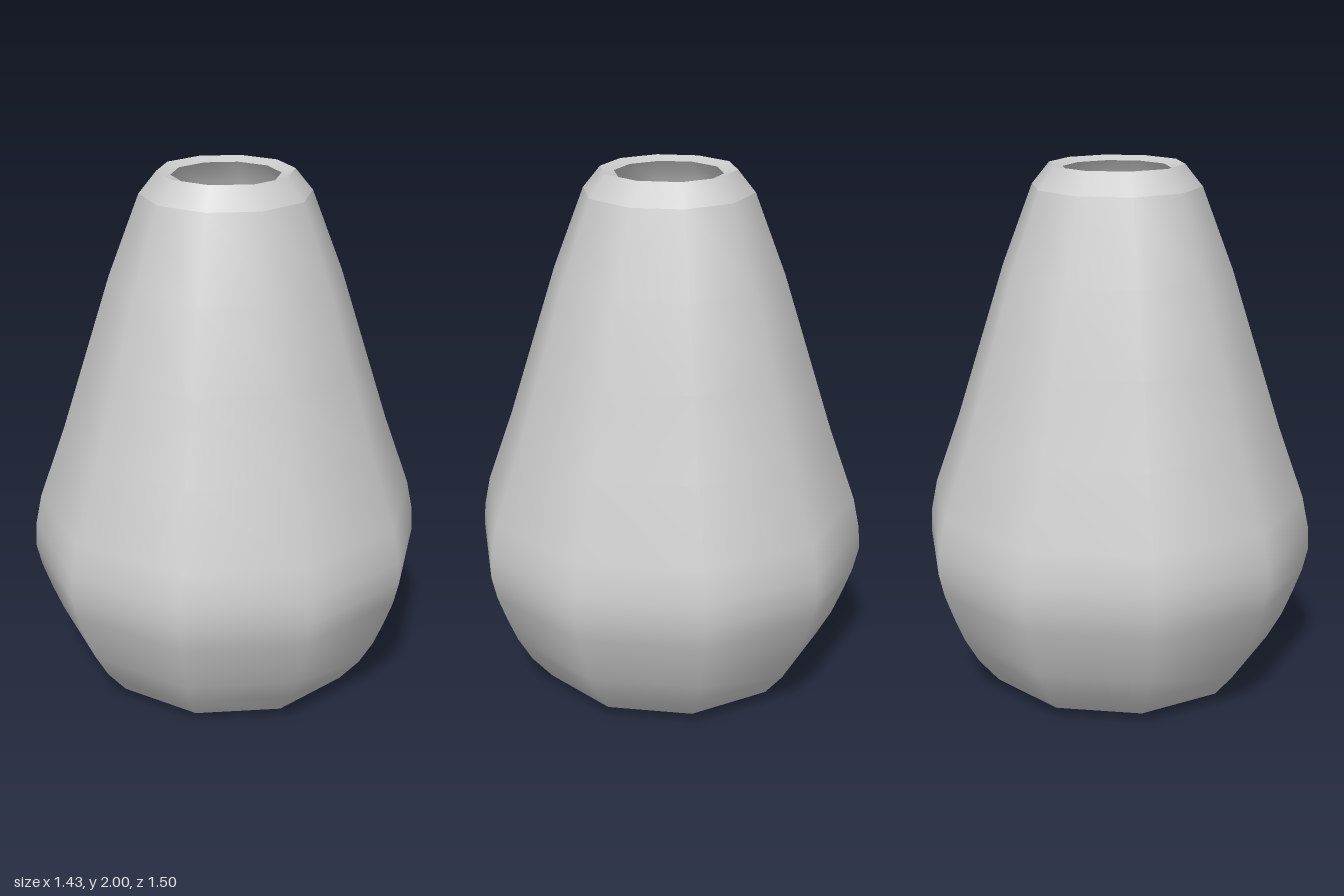
import * as THREE from 'three';

const SIDES = 10;

export function createModel() {
  const vase = new THREE.Group();
  vase.name = 'vase';
  const material = new THREE.MeshStandardMaterial({ color: 0xcccccc });

  // Each section is smooth in itself; the joins between sections stay sharp.
  // Profiles are [radius, height] and run base -> outside -> rim -> inside.
  const section = (name, profile) => {
    const points = profile.map(([r, y]) => new THREE.Vector2(r, y));
    const mesh = new THREE.Mesh(new THREE.LatheGeometry(points, SIDES), material);
    mesh.name = name;
    vase.add(mesh);
  };

  section('base', [[0, 0], [0.44, 0]]);
  section('baseBevel', [[0.44, 0], [0.52, 0.04]]);
  section('body', [
    [0.52, 0.04], [0.6, 0.14], [0.655, 0.24], [0.695, 0.34], [0.73, 0.44], [0.75, 0.53],
    [0.745, 0.62], [0.72, 0.74], [0.62, 1.02], [0.525, 1.32], [0.43, 1.62], [0.315, 1.92],
  ]);
  section('neckBevel', [[0.315, 1.92], [0.25, 2]]);
  section('rim', [[0.25, 2], [0.2, 1.985]]);

  // Hollow inside, following the body
  section('innerWall', [
    [0.2, 1.985], [0.26, 1.9], [0.37, 1.62], [0.56, 1.02], [0.66, 0.74],
    [0.69, 0.53], [0.63, 0.34], [0.54, 0.14], [0.47, 0.07],
  ]);
  section('innerFloor', [[0.47, 0.07], [0, 0.07]]);

  return vase;
}
